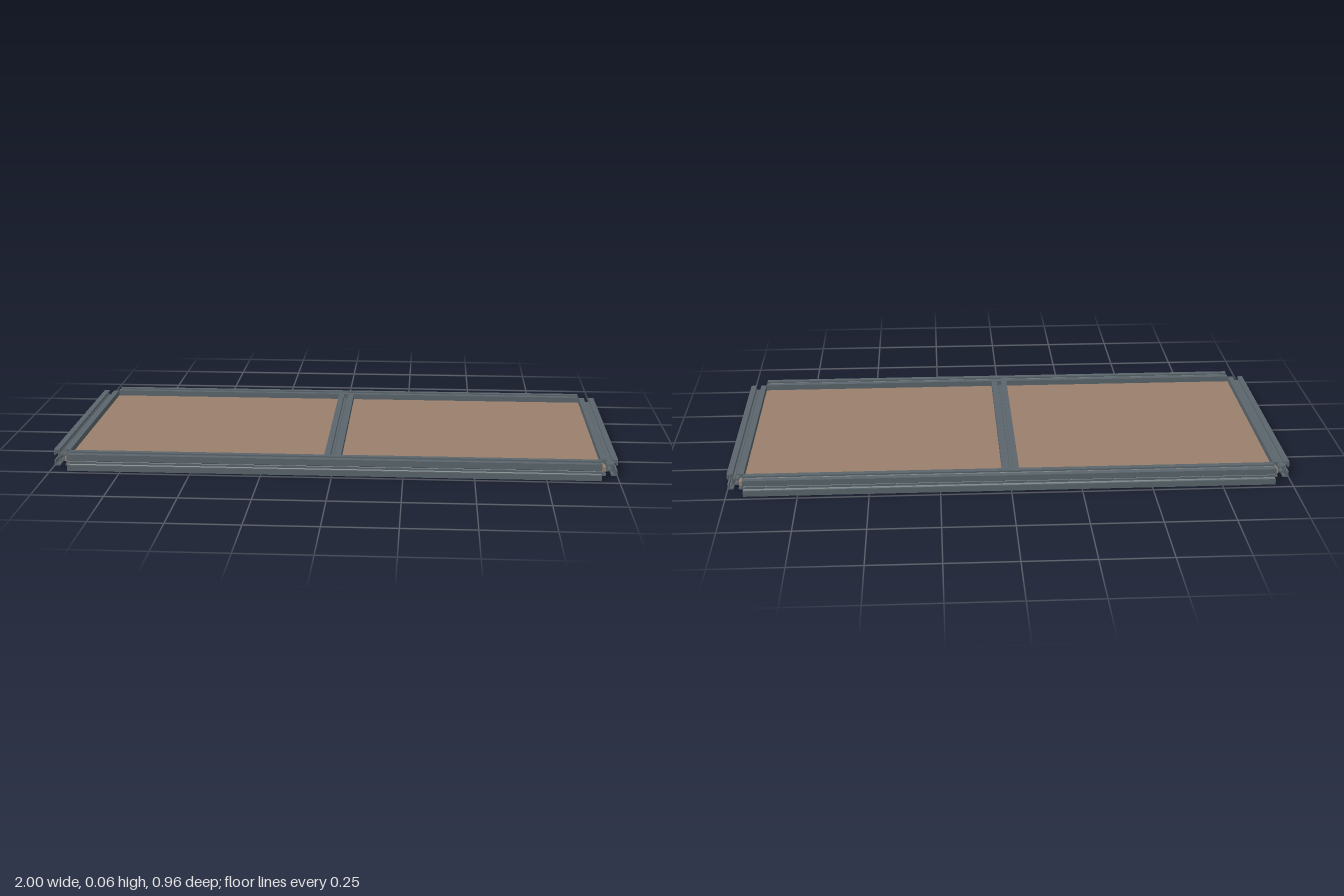
import * as THREE from 'three';

const H = 0.03; // half the width of a rail

// Slotted rail cross-section: one side, turned four times, with a round bore
function railShape() {
  const side = [
    [1, -1], [1, -0.3], [0.8, -0.3], [0.8, -0.68], [0.42, -0.3], [0.42, -0.05], [0.38, 0],
    [0.42, 0.05], [0.42, 0.3], [0.8, 0.68], [0.8, 0.3], [1, 0.3],
  ];
  const points = [];
  for (let k = 0; k < 4; k++) {
    const turn = (k * Math.PI) / 2;
    for (const [x, y] of side) {
      points.push(new THREE.Vector2(x * H, y * H).rotateAround(new THREE.Vector2(), turn));
    }
  }
  const shape = new THREE.Shape(points);
  const bore = new THREE.Path();
  bore.absarc(0, 0, 0.26 * H, 0, Math.PI * 2, true);
  shape.holes.push(bore);
  return shape;
}

export function createModel() {
  const group = new THREE.Group();
  const railGrey = new THREE.MeshStandardMaterial({ color: 0x5a656b });
  railGrey.name = 'rail grey';
  const panelBrown = new THREE.MeshStandardMaterial({ color: 0x9a806c });
  panelBrown.name = 'panel brown';
  const shape = railShape();

  function rail(name, length, x, z, alongX) {
    const geometry = new THREE.ExtrudeGeometry(shape, {
      depth: length, bevelEnabled: false, curveSegments: 6,
    });
    geometry.translate(0, 0, -length / 2);
    const mesh = new THREE.Mesh(geometry, railGrey);
    mesh.name = name;
    mesh.position.set(x, H, z);
    if (alongX) mesh.rotation.y = Math.PI / 2;
    group.add(mesh);
  }

  // Outer frame and middle bar
  rail('frontRail', 1.88, 0, 0.45, true);
  rail('backRail', 1.88, 0, -0.45, true);
  rail('leftRail', 0.84, 0.97, 0, false);
  rail('rightRail', 0.84, -0.97, 0, false);
  rail('middleRail', 0.84, 0, 0, false);

  // Panels held in the rail slots
  const inner = 0.013, outer = 0.957;
  for (const s of [-1, 1]) {
    const panel = new THREE.Mesh(new THREE.BoxGeometry(outer - inner, 0.016, 0.874), panelBrown);
    panel.name = s > 0 ? 'leftPanel' : 'rightPanel';
    panel.position.set((s * (inner + outer)) / 2, H, 0);
    group.add(panel);
  }
  return group;
}
